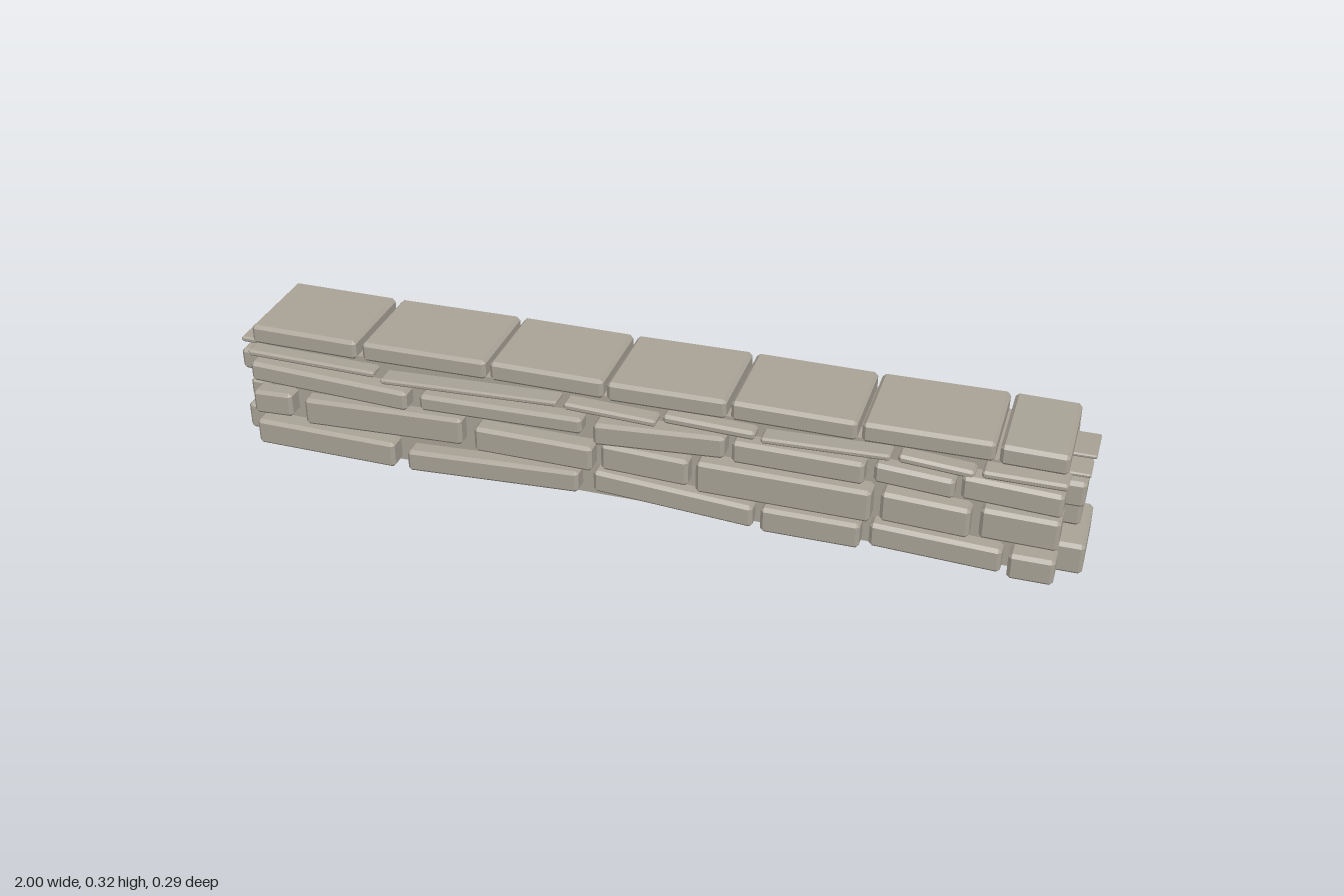
import * as THREE from 'three';
import { ConvexGeometry } from 'three/addons/geometries/ConvexGeometry.js';

const stoneMat = new THREE.MeshStandardMaterial({ color: 0xa9a397 });
stoneMat.name = 'warm grey stone';

// Chamfered block; its mid height runs from yL (low x end) to yR (high x end),
// or along z when alongZ is set
function stone(name, x0, x1, yL, yR, h, z0, z1, alongZ = false) {
  const size = [x1 - x0, h, z1 - z0];
  const bevel = Math.min(0.008, h * 0.3);
  const points = [];
  for (const sx of [-1, 1]) for (const sy of [-1, 1]) for (const sz of [-1, 1]) {
    const s = [sx, sy, sz];
    for (let axis = 0; axis < 3; axis++) {
      const p = s.map((sign, i) => sign * (size[i] / 2 - (i === axis ? 0 : bevel)));
      const t = alongZ ? p[2] / size[2] : p[0] / size[0];
      points.push(new THREE.Vector3(p[0], p[1] + t * (yR - yL), p[2]));
    }
  }
  const mesh = new THREE.Mesh(new ConvexGeometry(points), stoneMat);
  mesh.name = name;
  mesh.position.set((x0 + x1) / 2, (yL + yR) / 2, (z0 + z1) / 2);
  return mesh;
}

// Courses: [x0, x1, mid height at x0, mid height at x1, stone height]
const frontStones = [
  // bottom course
  [-0.945, -0.59, 0.05, 0.046, 0.066], [-0.56, -0.135, 0.036, 0.057, 0.056],
  [-0.10, 0.275, 0.066, 0.041, 0.056], [0.295, 0.52, 0.046, 0.046, 0.064],
  [0.54, 0.83, 0.054, 0.042, 0.06], [0.845, 0.945, 0.041, 0.041, 0.064],
  // second course
  [-0.95, -0.85, 0.128, 0.132, 0.062], [-0.82, -0.42, 0.12, 0.135, 0.07],
  [-0.385, -0.10, 0.13, 0.127, 0.064], [-0.08, 0.125, 0.137, 0.13, 0.068],
  [0.145, 0.54, 0.132, 0.13, 0.08], [0.56, 0.755, 0.134, 0.126, 0.074],
  [0.775, 0.945, 0.131, 0.128, 0.076],
  // third course
  [-0.945, -0.55, 0.214, 0.198, 0.05], [-0.52, -0.125, 0.2, 0.207, 0.042],
  [-0.095, 0.21, 0.199, 0.219, 0.056], [0.225, 0.52, 0.21, 0.208, 0.056],
  [0.54, 0.715, 0.214, 0.203, 0.048], [0.73, 0.945, 0.22, 0.21, 0.058],
  // thin levelling course
  [-0.95, -0.63, 0.26, 0.254, 0.016], [-0.61, -0.18, 0.246, 0.262, 0.014],
  [-0.165, 0.05, 0.257, 0.249, 0.018], [0.065, 0.275, 0.262, 0.255, 0.022],
  [0.29, 0.575, 0.254, 0.263, 0.015], [0.59, 0.755, 0.262, 0.25, 0.02],
  [0.77, 0.95, 0.262, 0.262, 0.018],
];
const backStones = [
  [-0.945, -0.79, 0.038, 0.038, 0.064], [-0.775, -0.29, 0.046, 0.036, 0.062],
  [-0.27, 0.04, 0.04, 0.046, 0.066], [0.06, 0.365, 0.046, 0.042, 0.066],
  [0.385, 0.69, 0.038, 0.046, 0.064], [0.71, 0.945, 0.04, 0.038, 0.07],
  [-0.945, -0.67, 0.122, 0.112, 0.066], [-0.65, -0.38, 0.118, 0.126, 0.07],
  [-0.36, -0.08, 0.126, 0.12, 0.07], [-0.06, 0.24, 0.118, 0.126, 0.066],
  [0.26, 0.7, 0.126, 0.116, 0.068], [0.72, 0.945, 0.114, 0.114, 0.066],
  [-0.945, -0.59, 0.2, 0.196, 0.068], [-0.57, -0.05, 0.194, 0.206, 0.062],
  [-0.03, 0.24, 0.206, 0.196, 0.062], [0.26, 0.64, 0.196, 0.208, 0.06],
  [0.66, 0.945, 0.2, 0.198, 0.068],
  [-0.945, -0.64, 0.254, 0.252, 0.03], [-0.62, -0.2, 0.25, 0.258, 0.022],
  [-0.18, 0.16, 0.257, 0.25, 0.022], [0.18, 0.55, 0.25, 0.258, 0.022],
  [0.57, 0.945, 0.254, 0.254, 0.032],
];
// End stones: [side, outer x, y at low z, y at high z, height, z0, z1]
const endStones = [
  [1, 1, 0.05, 0.05, 0.076, -0.09, 0.09],
  [1, 0.98, 0.132, 0.139, 0.064, -0.09, 0.045],
  [1, 0.985, 0.224, 0.214, 0.062, -0.09, 0.09],
  [1, 0.995, 0.262, 0.27, 0.009, -0.09, 0.018],
  [1, 0.99, 0.266, 0.266, 0.009, 0.025, 0.09],
  [-1, 1, 0.052, 0.05, 0.07, -0.09, 0.085],
  [-1, 0.985, 0.13, 0.13, 0.052, -0.09, 0.085],
  [-1, 1, 0.208, 0.208, 0.054, -0.09, 0.085],
  [-1, 0.995, 0.262, 0.262, 0.014, -0.09, 0.085],
];
// Joints between the coping slabs
const copingStones = [
  [-0.945, -0.68], [-0.665, -0.36], [-0.35, -0.08], [-0.07, 0.205],
  [0.215, 0.495], [0.505, 0.79], [0.80, 0.945],
];

export function createModel() {
  const wall = new THREE.Group();
  wall.name = 'dryStoneWall';

  // Solid core behind the facing stones
  const core = new THREE.Mesh(new THREE.BoxGeometry(1.84, 0.265, 0.2), stoneMat);
  core.name = 'core';
  core.position.set(0, 0.1445, 0);
  wall.add(core);

  // Facing stones, each set forward by a slightly different amount
  const inset = (i) => ((i * 7) % 5) * 0.003;
  frontStones.forEach(([x0, x1, yL, yR, h], i) =>
    wall.add(stone('frontStone', x0, x1, yL, yR, h, 0.055, 0.146 - inset(i))));
  backStones.forEach(([x0, x1, yL, yR, h], i) =>
    wall.add(stone('backStone', x0, x1, yL, yR, h, -0.144 + inset(i), -0.053)));

  // Stones closing both ends
  for (const [side, outer, yA, yB, h, z0, z1] of endStones) {
    const xs = [side * outer, side * 0.84].sort((a, b) => a - b);
    wall.add(stone('endStone', xs[0], xs[1], yA, yB, h, z0, z1, true));
  }

  // Coping slabs along the top
  copingStones.forEach(([x0, x1], i) => {
    const dy = (i % 2) * 0.002;
    wall.add(stone('copingStone', x0, x1, 0.3 - dy, 0.298 + dy, 0.048, -0.118, 0.118 - (i % 3) * 0.002));
  });
  return wall;
}
